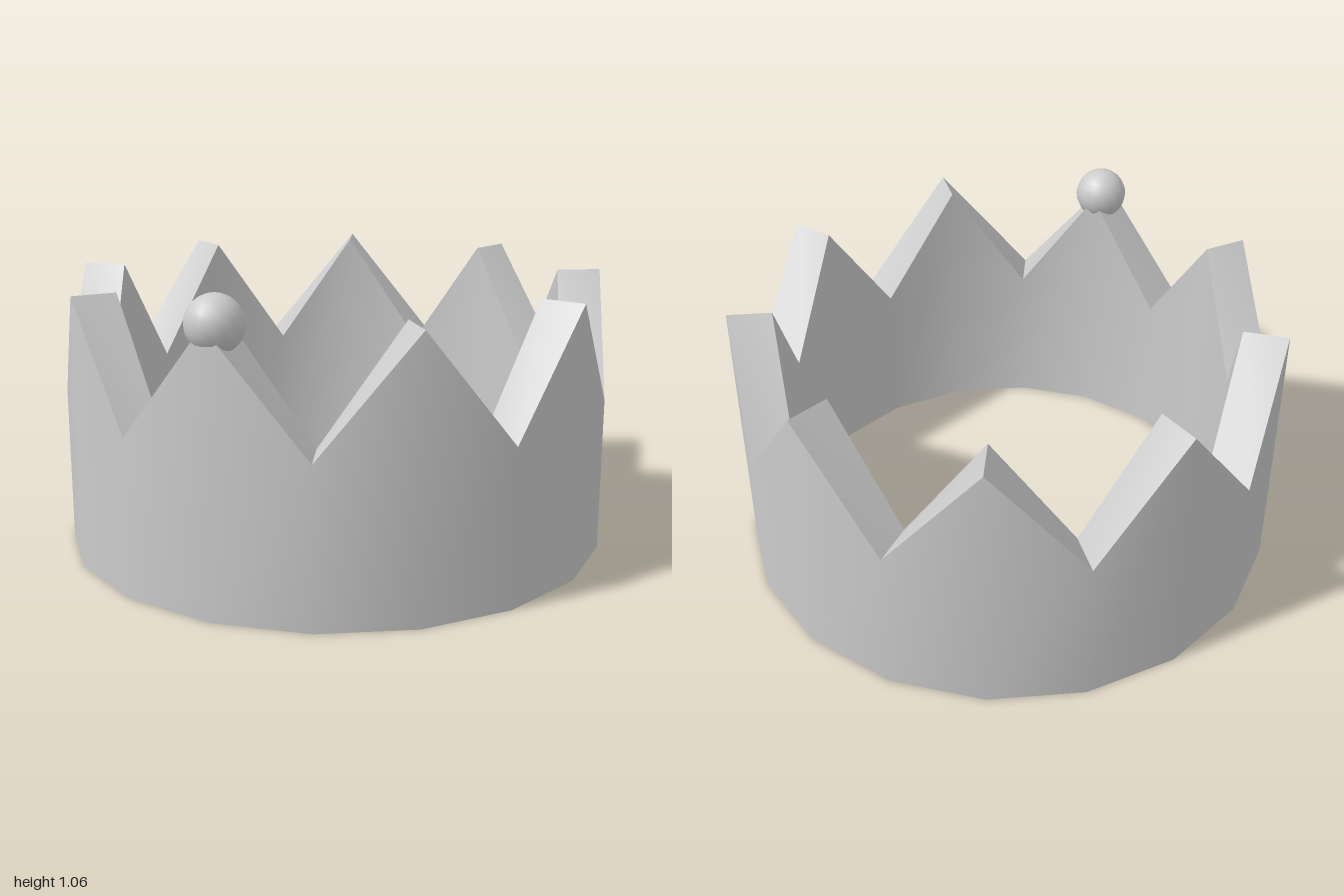
import * as THREE from 'three';
import { toCreasedNormals } from 'three/addons/utils/BufferGeometryUtils.js';

const SIDES = 18, OUTER = 0.99, INNER = 0.83, PEAK = 0.973, VALLEY = 0.56;

// Ring of rectangular cross-sections whose height alternates peak / valley
function crownBand() {
  const positions = [], index = [];
  for (let i = 0; i < SIDES; i++) {
    const angle = (i / SIDES) * Math.PI * 2;
    const top = i % 2 === 0 ? PEAK : VALLEY;
    for (const [r, y] of [[OUTER, 0], [OUTER, top], [INNER, top], [INNER, 0]]) {
      positions.push(Math.sin(angle) * r, y, Math.cos(angle) * r);
    }
    const next = (i + 1) % SIDES;
    for (let j = 0; j < 4; j++) {
      const k = (j + 1) % 4;
      const a = i * 4 + j, b = next * 4 + j, c = next * 4 + k, d = i * 4 + k;
      index.push(a, b, c, a, c, d);
    }
  }
  const geometry = new THREE.BufferGeometry();
  geometry.setAttribute('position', new THREE.Float32BufferAttribute(positions, 3));
  geometry.setIndex(index);
  // Smooth round walls, sharp rims
  return toCreasedNormals(geometry, Math.PI / 6);
}

export function createModel() {
  const material = new THREE.MeshStandardMaterial({ color: 0xcccccc });
  const crown = new THREE.Group();
  crown.name = 'crown';

  // Nine-pointed band
  const band = new THREE.Mesh(crownBand(), material);
  band.name = 'pointedBand';
  band.position.z = -0.01;

  // Ball on the front point
  const ball = new THREE.Mesh(new THREE.SphereGeometry(0.098, 16, 12), material);
  ball.name = 'frontBall';
  ball.position.set(0, 0.965, 0.9);

  crown.add(band, ball);
  return crown;
}
